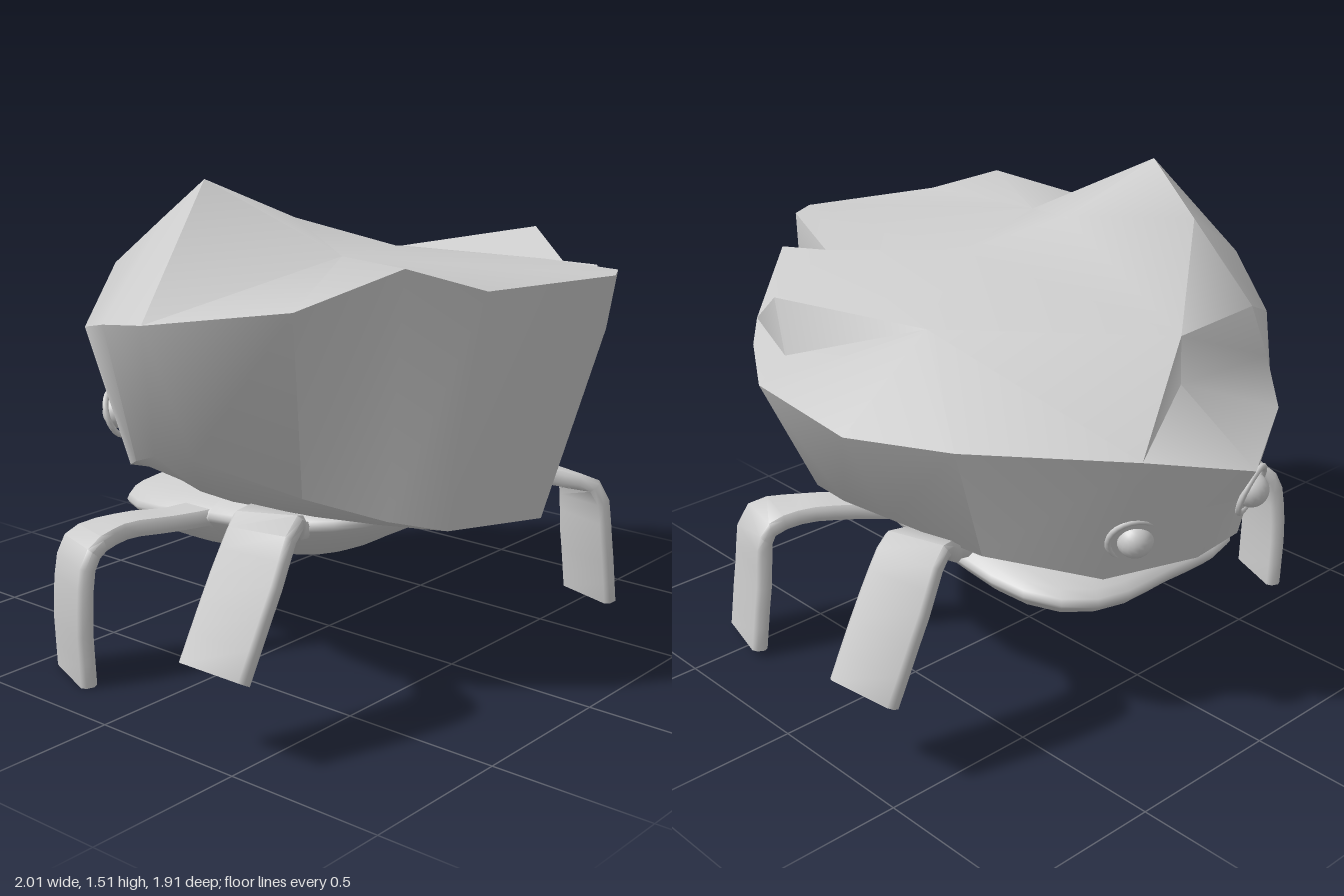
import * as THREE from 'three';
import { toCreasedNormals } from 'three/addons/utils/BufferGeometryUtils.js';

const stone = new THREE.MeshStandardMaterial({ color: 0xcccccc });
stone.name = 'stone grey';

function mesh(name, geometry) {
  const m = new THREE.Mesh(geometry, stone);
  m.name = name;
  return m;
}

function fromTriangles(points, triangles, crease) {
  const g = new THREE.BufferGeometry();
  g.setAttribute('position', new THREE.Float32BufferAttribute(triangles.flat().flatMap((i) => points[i]), 3));
  return toCreasedNormals(g, crease);
}

// Rocky shell: rim point and matching lower wall point, clockwise from the back
const WALL = [
  [0.04, 0.90, -0.96, 0.04, 0.55, -0.76],
  [0.30, 0.945, -0.77, 0.27, 0.50, -0.60],
  [0.67, 0.97, -0.41, 0.53, 0.58, -0.36],
  [0.84, 0.98, -0.13, 0.66, 0.65, -0.10],
  [0.93, 1.085, 0.13, 0.69, 0.655, 0.08],
  [0.80, 1.115, 0.34, 0.64, 0.62, 0.28],
  [0.70, 1.14, 0.46, 0.56, 0.59, 0.41],
  [0.41, 1.24, 0.72, 0.36, 0.54, 0.58],
  [0.25, 1.085, 0.855, 0.24, 0.52, 0.67],
  [0.22, 1.27, 0.905, 0.19, 0.515, 0.70],
  [0.13, 1.27, 0.95, 0.11, 0.51, 0.74],
  [-0.31, 1.27, 0.82, -0.27, 0.55, 0.67],
  [-0.47, 1.335, 0.66, -0.41, 0.59, 0.56],
  [-0.72, 1.23, 0.48, -0.57, 0.66, 0.38],
  [-0.91, 1.175, 0.10, -0.74, 0.76, 0.12],
  [-0.85, 1.14, -0.12, -0.68, 0.72, -0.10],
  [-0.64, 1.06, -0.43, -0.51, 0.62, -0.36],
  [-0.34, 0.95, -0.70, -0.31, 0.52, -0.60],
  [-0.29, 0.935, -0.77, -0.24, 0.50, -0.68],
];

// Points inside the rim: peak, ridge, back ledge, hollow, plateau, notch, side spike and its foot (19 to 31)
const CREST = [
  [-0.48, 1.52, -0.07], [-0.42, 1.385, -0.30],
  [-0.34, 1.20, -0.61], [0.01, 1.205, -0.64],
  [-0.36, 1.05, -0.66], [0.05, 1.08, -0.68],
  [-0.16, 1.38, 0.00], [-0.30, 1.31, 0.30],
  [0.10, 1.28, 0.20], [0.50, 1.205, -0.10], [0.35, 1.25, 0.57],
  [0.77, 1.275, 0.26], [0.80, 1.125, 0.18],
];

// Fans over the top: centre, then its neighbours clockwise
const FANS = [
  [24, 22, 23, 18, 0, 1, 22],
  [23, 22, 21, 16, 17, 18],
  [20, 19, 15, 16, 21, 22, 25, 19],
  [19, 25, 26, 14, 15],
  [26, 25, 27, 10, 11, 12, 13, 14],
  [27, 25, 22, 28, 29, 9, 10],
  [29, 28, 6, 7, 8, 9],
  [28, 22, 1, 2, 3, 4, 31, 30, 6],
  [31, 4, 5, 6, 30],
];

function shellGeometry() {
  const n = WALL.length;
  const points = [...WALL.map((r) => r.slice(0, 3)), ...CREST];
  const low = points.length;
  points.push(...WALL.map((r) => r.slice(3)));
  const under = points.length;
  points.push(...WALL.map(([, , , x, y, z]) => [x * 0.75, 0.5 + (y - 0.5) * 0.35, z * 0.8]));
  const centre = points.push([0, 0.5, 0]) - 1;
  const tris = [];
  for (const [c, ...ring] of FANS) {
    for (let i = 0; i + 1 < ring.length; i++) tris.push([c, ring[i + 1], ring[i]]);
  }
  const quad = (a, b, c, d) => tris.push([a, b, c], [a, c, d]);
  for (let i = 0; i < n; i++) {
    const j = (i + 1) % n;
    quad(i, j, low + j, low + i);
    quad(low + i, low + j, under + j, under + i);
    tris.push([under + i, under + j, centre]);
  }
  return fromTriangles(points, tris, 0.78);
}

// Belly: low dome above, tilted bowl below, drawn out towards the four legs
function bodyGeometry() {
  const g = new THREE.SphereGeometry(1, 32, 18);
  const p = g.attributes.position;
  for (let i = 0; i < p.count; i++) {
    const y = p.getY(i);
    const corner = 1 + 0.18 * Math.sin(2 * Math.atan2(p.getZ(i), p.getX(i))) ** 2;
    const x = p.getX(i) * 0.46 * corner, z = p.getZ(i) * 0.53 * corner;
    const height = y < 0 ? -0.2 * Math.pow(-y, 1.5) : 0.1 * y;
    p.setXYZ(i, x, 0.475 + height + z * 0.1, z - 0.1);
  }
  g.computeVertexNormals();
  return g;
}

// Leg: bevelled ribbon lofted along a bent path, narrow at the root
const HALF_WIDTHS = [0.07, 0.05, 0.06, 0.105, 0.115, 0.115];
const SECTION = [[1, 0.5], [0.88, 1], [-0.88, 1], [-1, 0.5], [-1, -0.5], [-0.88, -1], [0.88, -1], [1, -0.5]];

function legGeometry(path, across) {
  const curve = new THREE.CatmullRomCurve3(path.map((p) => new THREE.Vector3(...p)));
  const steps = 15, k = SECTION.length;
  const points = [], tris = [];
  for (let s = 0; s <= steps; s++) {
    const t = s / steps, f = t * 5, i = Math.min(4, Math.floor(f));
    const half = THREE.MathUtils.lerp(HALF_WIDTHS[i], HALF_WIDTHS[i + 1], f - i);
    const c = curve.getPoint(t), tangent = curve.getTangent(t);
    const w = new THREE.Vector3(...across).normalize();
    w.addScaledVector(tangent, -w.dot(tangent)).normalize();
    const n = tangent.clone().cross(w);
    for (const [a, b] of SECTION) {
      points.push(c.clone().addScaledVector(w, a * half).addScaledVector(n, b * 0.026).toArray());
    }
    if (s === 0) continue;
    for (let q = 0; q < k; q++) {
      const r = (q + 1) % k, lo = (s - 1) * k, hi = s * k;
      tris.push([lo + q, lo + r, hi + r], [lo + q, hi + r, hi + q]);
    }
  }
  const end = steps * k;
  for (let q = 1; q + 1 < k; q++) tris.push([end, end + q, end + q + 1]);
  return fromTriangles(points, tris, 0.9);
}

const LEGS = {
  raisedLegLeft: [[0.06, 0, 0.23], [[0.34, 0.48, -0.12], [0.5, 0.53, -0.18], [0.6, 0.59, -0.26],
    [0.73, 0.67, -0.31], [0.835, 0.53, -0.33], [0.96, 0.29, -0.335]]],
  standingLegLeft: [[-0.06, 0, 0.22], [[0.34, 0.48, 0.2], [0.48, 0.485, 0.3], [0.61, 0.475, 0.42],
    [0.715, 0.43, 0.5], [0.745, 0.25, 0.515], [0.775, 0.03, 0.52]]],
  raisedLegRight: [[0.02, 0, 0.23], [[-0.34, 0.48, 0.16], [-0.5, 0.53, 0.26], [-0.6, 0.58, 0.34],
    [-0.735, 0.64, 0.4], [-0.845, 0.5, 0.415], [-0.975, 0.27, 0.415]]],
  standingLegRight: [[-0.09, 0, 0.23], [[-0.34, 0.48, -0.12], [-0.52, 0.465, -0.2], [-0.66, 0.46, -0.28],
    [-0.78, 0.42, -0.32], [-0.815, 0.25, -0.33], [-0.81, 0.01, -0.33]]],
};

export function createModel() {
  const model = new THREE.Group();
  model.name = 'rockShellCrab';

  model.add(mesh('shell', shellGeometry()));
  model.add(mesh('body', bodyGeometry()));

  for (const [name, [across, path]] of Object.entries(LEGS)) {
    model.add(mesh(name, legGeometry(path, across)));
  }

  // Round eyes in rimmed sockets on the two back faces of the shell
  const eyes = [['leftEye', [0.23, 0.65, -0.685], [0.51, -0.38, -0.77]],
    ['rightEye', [-0.24, 0.665, -0.725], [-0.3, -0.3, -0.9]]];
  for (const [name, at, facing] of eyes) {
    const eye = new THREE.Group();
    eye.name = name;
    eye.add(mesh('socket', new THREE.TorusGeometry(0.08, 0.01, 8, 24)));
    eye.add(mesh('eyeball', new THREE.SphereGeometry(0.055, 20, 14)));
    eye.position.set(...at);
    eye.lookAt(...at.map((v, i) => v + facing[i]));
    model.add(eye);
  }
  return model;
}
